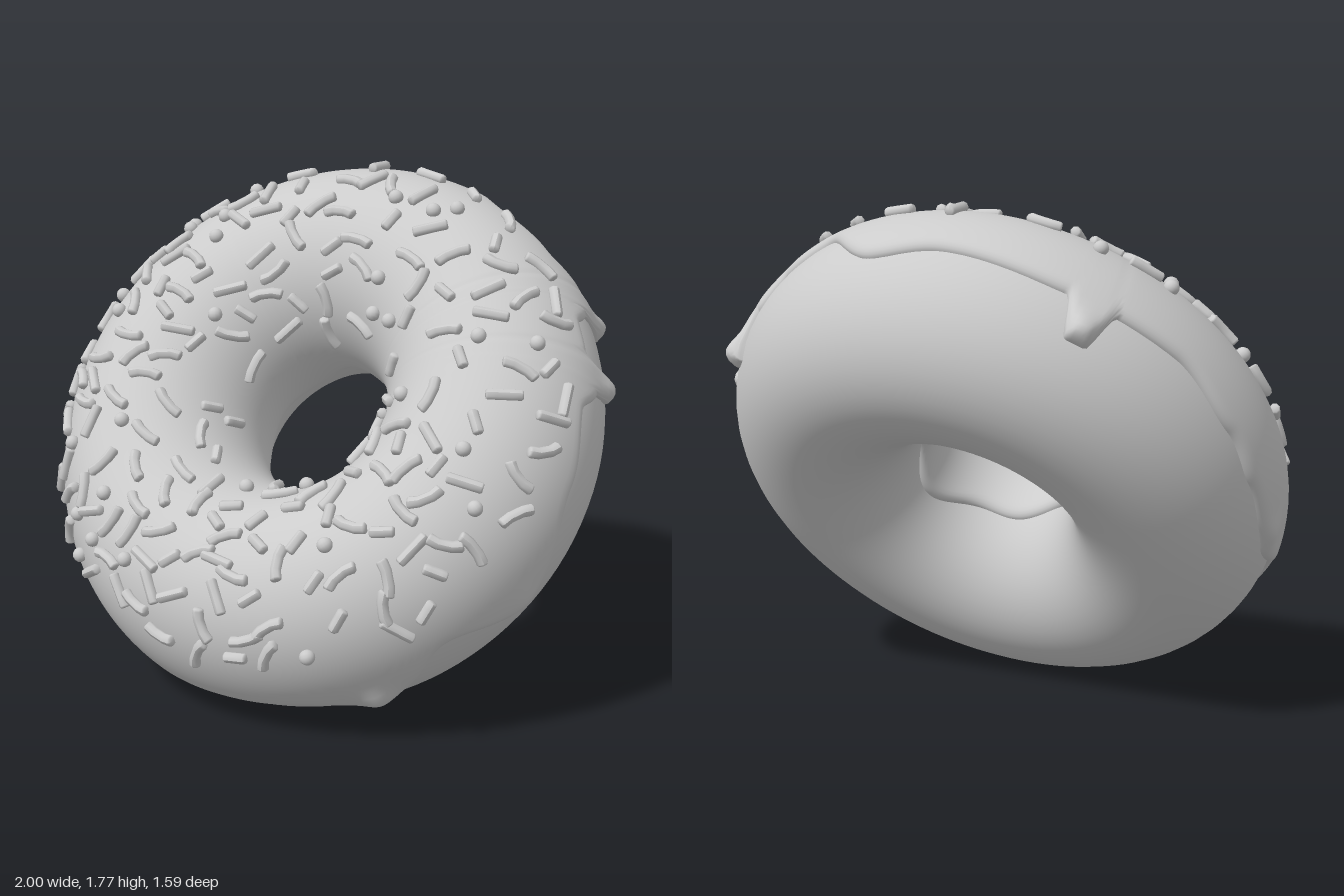
import * as THREE from 'three';
import { mergeGeometries } from 'three/addons/utils/BufferGeometryUtils.js';

const RING = 0.632, A = 0.352, B = 0.386, DROP = -0.02; // ring radius, section half-axes, section height
const TILT = THREE.MathUtils.degToRad(51);
const ICING = 0.024;

// Icing rim on the outside of the ring: [degrees around, height along the ring axis]
const RIM = [
  [5, 0.065], [27, -0.08], [43, 0.05], [57, -0.09], [63, -0.09], [75, -0.02], [90, -0.01], [118, -0.07],
  [132, 0], [150, -0.02], [169, -0.15], [175, -0.15], [188, -0.13], [200, -0.09], [217, -0.03], [230, -0.03],
  [233, -0.17], [237, -0.17], [240, -0.03], [265, 0], [279, -0.04], [299, 0.14], [312, 0.1],
  [320, 0], [322, -0.18], [325.3, -0.18], [327, 0.04], [331, 0.11], [337.5, 0.1], [340, -0.08], [343.2, -0.08],
  [345, 0.04], [350, 0.11],
];
// Swollen drip ends: [degrees around, extra thickness]
const DRIPS = [[60, 0.03], [172, 0.012], [235, 0.034], [323.6, 0.034], [341.6, 0.022], [27, 0.008]];

// Angle in the cross-section where the icing starts
function rimPhi(degrees) {
  let deg = (degrees + 360) % 360;
  let i = RIM.length - 1;
  while (i > 0 && RIM[i][0] > deg) i--;
  if (deg < RIM[0][0]) {
    i = RIM.length - 1;
    deg += 360;
  }
  const [a0, h0] = RIM[i], [a1, h1] = RIM[(i + 1) % RIM.length];
  const h = THREE.MathUtils.lerp(h0, h1, THREE.MathUtils.smoothstep(deg, a0, a1 < a0 ? a1 + 360 : a1));
  return Math.asin((h - DROP) / B);
}

// Point and normal on the ring, lifted off the dough by t
function ringPoint(theta, phi, t = 0) {
  const c = Math.cos(phi), s = Math.sin(phi);
  const n = new THREE.Vector2(c / A, s / B).normalize();
  const r = RING + A * c + n.x * t, y = DROP + B * s + n.y * t;
  return {
    position: new THREE.Vector3(r * Math.cos(theta), y, r * Math.sin(theta)),
    normal: new THREE.Vector3(n.x * Math.cos(theta), n.y, n.x * Math.sin(theta)),
  };
}

// Closed loop of cross-sections: at(theta, v) gives a point, v runs 0..1 across the section
function loopSurface(around, across, closed, at) {
  const pos = [], idx = [], rows = closed ? across : across + 1;
  for (let i = 0; i < around; i++)
    for (let j = 0; j < rows; j++) pos.push(...at((i / around) * Math.PI * 2, j / across).toArray());
  for (let i = 0; i < around; i++) {
    const p = i * rows, q = ((i + 1) % around) * rows;
    for (let j = 0; j < across; j++) {
      const k = (j + 1) % rows;
      idx.push(p + j, p + k, q + j, p + k, q + k, q + j);
    }
  }
  const g = new THREE.BufferGeometry();
  g.setAttribute('position', new THREE.Float32BufferAttribute(pos, 3));
  g.setIndex(idx);
  g.computeVertexNormals();
  return g;
}

// Distance to the outer rim, looking sideways too so that drips get round flanks
function rimDistance(deg, phi) {
  let best = 1;
  for (let o = -4; o <= 4; o += 0.25) {
    const sideways = THREE.MathUtils.degToRad(o);
    best = Math.min(best, Math.hypot(sideways, Math.max(0, phi - rimPhi(deg + o)) * A));
  }
  return best;
}

function icingPoint(theta, v) {
  const deg = THREE.MathUtils.radToDeg(theta);
  const start = rimPhi(deg);
  const end = Math.PI + 0.2 + 0.1 * Math.sin(2 * theta + 1) + 0.05 * Math.sin(5 * theta);
  const phi = start + (end - start) * (0.5 - 0.5 * Math.cos(Math.PI * v)); // finer rows near both rims
  let thick = ICING;
  for (const [a, extra] of DRIPS)
    thick += extra * Math.exp(-(((deg - a) / 3.5) ** 2) - ((phi - rimPhi(a) - 0.1) / 0.14) ** 2);
  const edge = Math.min(rimDistance(deg, phi), (end - phi) * A);
  const k = THREE.MathUtils.clamp(1 - edge / 0.035, 0, 1);
  return ringPoint(theta, phi, -0.004 + (thick + 0.004) * Math.sqrt(1 - k * k)).position;
}

// Rod with softened ends, curved sideways by a bend amount
function rodGeometry(length, bend) {
  const r = 0.0185, h = length / 2;
  const profile = [[0, -h], [r * 0.75, -h], [r, -h + 0.006], [r, -h * 0.4],
    [r, h * 0.4], [r, h - 0.006], [r * 0.75, h], [0, h]].map(([x, y]) => new THREE.Vector2(x, y));
  const g = new THREE.LatheGeometry(profile, 8);
  const p = g.attributes.position;
  for (let i = 0; i < p.count; i++) {
    const x = p.getX(i), y = p.getY(i);
    p.setXY(i, x + bend * (y * y - h * h / 2), y - x * 2 * bend * y);
  }
  g.computeVertexNormals();
  return g;
}

function seeded(seed) {
  return () => {
    seed = (seed * 1664525 + 1013904223) % 4294967296;
    return seed / 4294967296;
  };
}

// Sprinkles scattered loosely over the iced face, thinning out towards the hole
function scatterSprinkles() {
  const rodKinds = [rodGeometry(0.12, 0), rodGeometry(0.08, 0), rodGeometry(0.12, 3), rodGeometry(0.115, -4)];
  const ball = new THREE.SphereGeometry(0.026, 12, 8);
  const random = seeded(7);
  const placed = [], rods = [], balls = [];
  for (let tries = 0; tries < 6000 && placed.length < 205; tries++) {
    const theta = random() * Math.PI * 2;
    const phi = THREE.MathUtils.degToRad(35 + 120 * random());
    const angle = random() * Math.PI, kind = random();
    if (random() > (RING + A * Math.cos(phi)) / (RING + A)) continue; // even density by area
    const { position, normal } = ringPoint(theta, phi, ICING + 0.008);
    if (placed.some((p) => p.distanceTo(position) < 0.078)) continue;
    placed.push(position);
    const along = new THREE.Vector3(-Math.sin(theta), 0, Math.cos(theta)).applyAxisAngle(normal, angle);
    const side = new THREE.Vector3().crossVectors(along, normal);
    const place = new THREE.Matrix4().makeBasis(side, along, normal).setPosition(position);
    if (kind < 0.14) balls.push(ball.clone().applyMatrix4(place));
    else rods.push(rodKinds[Math.floor(((kind - 0.14) / 0.86) * 4)].clone().applyMatrix4(place));
  }
  return { rods: mergeGeometries(rods), balls: mergeGeometries(balls) };
}

export function createModel() {
  const model = new THREE.Group();
  model.name = 'donut';
  const ring = new THREE.Group();
  ring.name = 'tiltedRing';
  ring.rotation.x = TILT;
  ring.position.y = 0.869;
  model.add(ring);

  const material = new THREE.MeshStandardMaterial({ color: 0xcccccc });
  const openMaterial = new THREE.MeshStandardMaterial({ color: 0xcccccc, side: THREE.DoubleSide });
  const addPart = (name, geometry, mat = material) => {
    const mesh = new THREE.Mesh(geometry, mat);
    mesh.name = name;
    ring.add(mesh);
  };

  addPart('dough', loopSurface(112, 48, true, (theta, v) => ringPoint(theta, v * Math.PI * 2).position));
  addPart('icing', loopSurface(540, 44, false, icingPoint), openMaterial);
  const sprinkles = scatterSprinkles();
  addPart('sprinkleRods', sprinkles.rods);
  addPart('sprinkleBalls', sprinkles.balls);
  return model;
}
